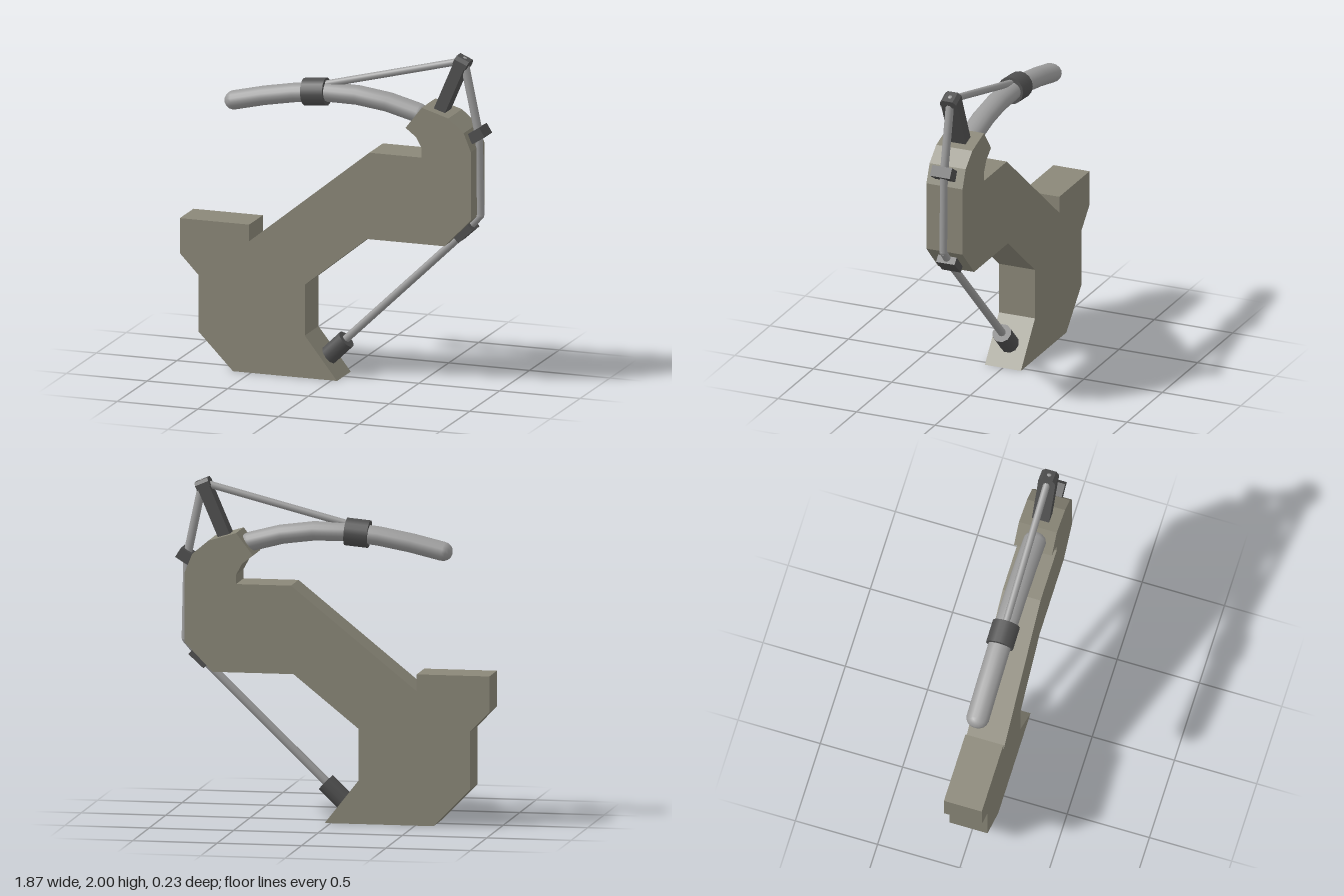
import * as THREE from 'three';

const mat = (color) => new THREE.MeshStandardMaterial({ color });
const bodyMat = mat(0x8a8778);
const darkMat = mat(0x505050);
const tubeMat = mat(0x9c9c9c);
const UP = new THREE.Vector3(0, 1, 0);

export function createModel() {
  const group = new THREE.Group();

  const add = (name, geometry, material, x = 0, y = 0, angle = 0) => {
    const mesh = new THREE.Mesh(geometry, material);
    mesh.name = name;
    mesh.position.set(x, y, 0);
    mesh.rotation.z = angle;
    group.add(mesh);
    return mesh;
  };

  // Plate cut from an outline, centred on z = 0
  const plate = (points, depth) => {
    const shape = new THREE.Shape(points.map(([x, y]) => new THREE.Vector2(x, y)));
    return new THREE.ExtrudeGeometry(shape, { depth, bevelEnabled: false }).translate(0, 0, -depth / 2);
  };

  // Straight rod between two points of the middle plane
  const rod = (name, [x1, y1], [x2, y2], radius) => {
    const a = new THREE.Vector3(x1, y1, 0);
    const b = new THREE.Vector3(x2, y2, 0);
    const mesh = add(name, new THREE.CylinderGeometry(radius, radius, a.distanceTo(b), 10), tubeMat);
    mesh.position.copy(a).lerp(b, 0.5);
    mesh.quaternion.setFromUnitVectors(UP, b.sub(a).normalize());
  };

  // Main body
  add('body', plate([
    [-0.61, 0], [0.035, 0], [-0.165, 0.255], [-0.165, 0.56], [0.22, 0.87], [0.7, 0.87],
    [0.865, 1.04], [0.865, 1.45], [0.82, 1.56], [0.725, 1.64], [0.56, 1.69], [0.46, 1.56],
    [0.525, 1.51], [0.56, 1.445], [0.56, 1.39], [0.235, 1.39], [-0.51, 0.79], [-0.51, 0.89],
    [-0.94, 0.89], [-0.94, 0.68], [-0.825, 0.56], [-0.825, 0.22],
  ], 0.23), bodyMat);

  // Curved arm, slightly wider than tall, with rounded ends
  const armPoints = [[-0.645, 1.6], [-0.4, 1.656], [-0.14, 1.695], [0.05, 1.702], [0.27, 1.682], [0.5, 1.625]]
    .map(([x, y]) => new THREE.Vector3(x, y, 0));
  const arm = add('arm', new THREE.TubeGeometry(new THREE.CatmullRomCurve3(armPoints), 6, 0.057, 16), tubeMat);
  arm.scale.z = 1.18;
  for (const p of [armPoints[0], armPoints[5]]) {
    const end = add('armEnd', new THREE.SphereGeometry(0.056, 16, 8), tubeMat, p.x, p.y, p.x < 0 ? 0.23 : -0.26);
    end.scale.z = 1.18;
  }

  // Collar around the arm
  add('armCollar', new THREE.CylinderGeometry(0.082, 0.082, 0.138, 16).rotateZ(Math.PI / 2), darkMat, -0.138, 1.695, 0.09);

  // Mast with a chamfered head
  add('mast', new THREE.BoxGeometry(0.072, 0.35, 0.104), darkMat, 0.7, 1.79, -0.405);
  const head = plate([
    [-0.052, -0.025], [0.052, -0.025], [0.052, 0.005], [0.032, 0.025], [-0.032, 0.025], [-0.052, 0.005],
  ], 0.084).rotateY(Math.PI / 2);
  add('mastHead', head, darkMat, 0.775, 1.96, -0.405);

  // Cable running from the arm over the mast and down the back
  const path = [[-0.12, 1.736], [0.78, 1.965], [0.872, 1.53], [0.882, 1.045], [0.795, 0.945], [0, 0.18]];
  const radii = [0.021, 0.025, 0.023, 0.023, 0.024];
  radii.forEach((r, i) => rod('cable', path[i], path[i + 1], r));
  for (const [x, y] of path.slice(1, 5)) add('cableBend', new THREE.SphereGeometry(0.023, 10, 8), tubeMat, x, y);

  // Cable guides and the lower socket
  add('upperGuide', new THREE.BoxGeometry(0.09, 0.065, 0.126), darkMat, 0.876, 1.535, 0.56);
  add('lowerGuide', new THREE.BoxGeometry(0.12, 0.05, 0.118), darkMat, 0.793, 0.94, 0.74);
  add('socket', new THREE.CylinderGeometry(0.058, 0.058, 0.155, 10), darkMat, -0.005, 0.17, -0.8);

  return group;
}
